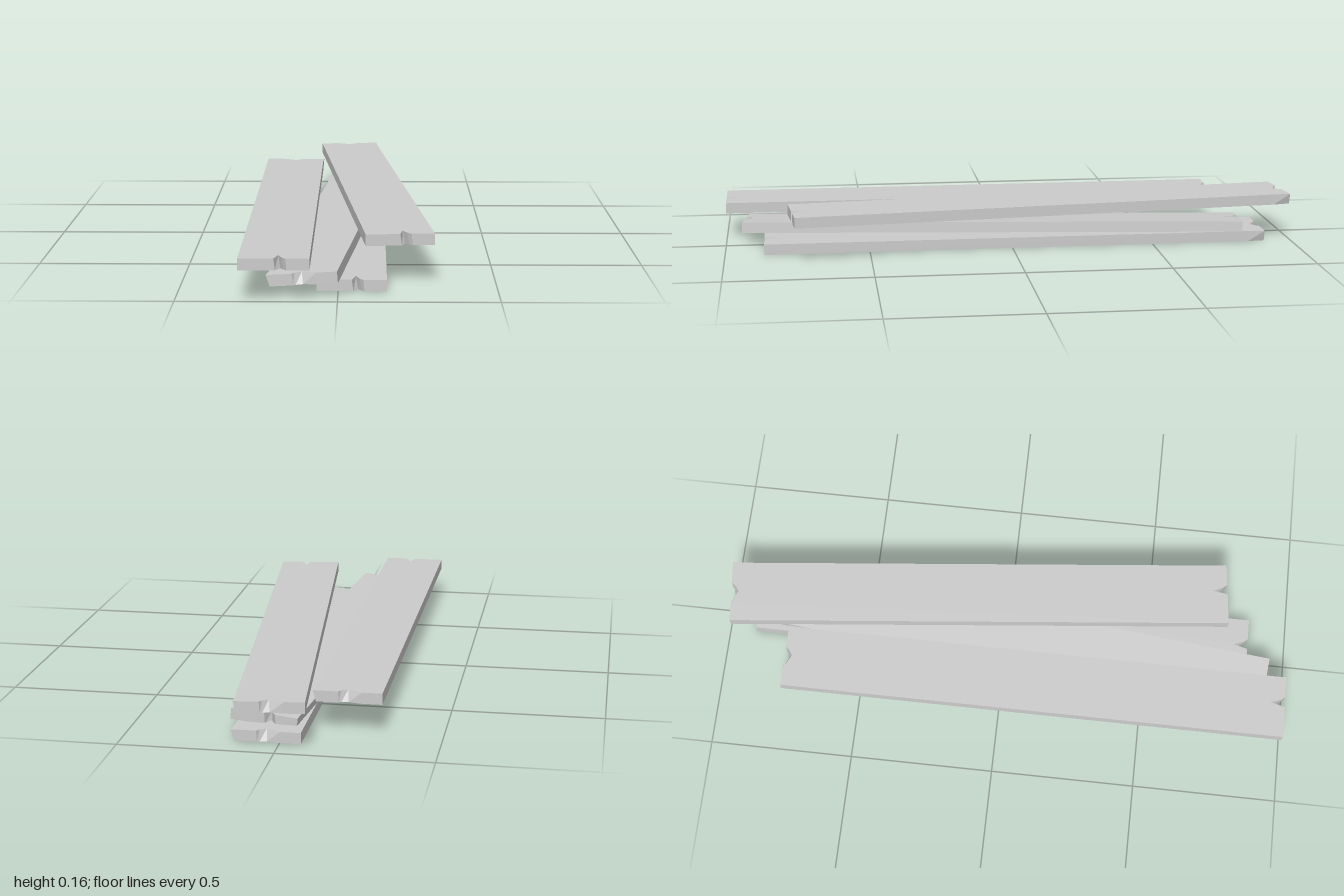
import * as THREE from 'three';

const HALF = 0.885;      // half the plank length
const THICK = 0.037;

// Outline, counter-clockwise from above: [top x, top z, bottom x, bottom z]
const OUTLINE = [
  [-0.11, HALF, -0.11, HALF],
  // split in the front end, deeper on top
  [0.0, HALF, 0.005, HALF],
  [0.013, HALF - 0.05, 0.02, HALF - 0.03],
  [0.025, HALF - 0.015, 0.03, HALF - 0.012],
  [0.036, HALF, 0.04, HALF],
  [0.11, HALF, 0.11, HALF],
  // chipped back corner
  [0.11, -HALF + 0.06, 0.11, -HALF + 0.06],
  [0.113, -HALF, 0.103, -HALF],
  // broad, shallow chip in the back end
  [0.032, -HALF, 0.03, -HALF],
  [0.024, -HALF + 0.012, 0.022, -HALF + 0.006],
  [0.003, -HALF + 0.026, 0.0, -HALF + 0.01],
  [-0.045, -HALF, -0.04, -HALF],
  [-0.11, -HALF, -0.11, -HALF],
];

function plankGeometry() {
  const top = OUTLINE.map(([x, z]) => [x, THICK / 2, z]);
  const bottom = OUTLINE.map(([, , x, z]) => [x, -THICK / 2, z]);
  const pos = [];
  const tri = (...corners) => corners.forEach((c) => pos.push(...c));

  // Broad faces
  const flat = top.map(([x, , z]) => new THREE.Vector2(x, -z));
  for (const [a, b, c] of THREE.ShapeUtils.triangulateShape(flat, [])) {
    tri(top[a], top[b], top[c]);
    tri(bottom[a], bottom[c], bottom[b]);
  }
  // Edge walls
  top.forEach((_, i) => {
    const j = (i + 1) % top.length;
    tri(bottom[i], bottom[j], top[j]);
    tri(bottom[i], top[j], top[i]);
  });

  const geometry = new THREE.BufferGeometry();
  geometry.setAttribute('position', new THREE.Float32BufferAttribute(pos, 3));
  geometry.computeVertexNormals();
  return geometry;
}

export function createModel() {
  const group = new THREE.Group();
  group.name = 'plankPile';
  const geometry = plankGeometry();
  const material = new THREE.MeshStandardMaterial({ color: 0xcccccc, flatShading: true });

  // Loosely stacked planks; the leaning one is turned end for end
  const planks = [
    { name: 'bottomPlank', at: [0.0425, 0.0185, -0.02], turn: [0, 0, 0] },
    { name: 'leaningPlank', at: [-0.0225, 0.053, 0.0515], turn: [0.002, Math.PI - 0.099, -0.077] },
    { name: 'rightPlank', at: [-0.195, 0.1165, 0.115], turn: [0, 0, 0] },
    { name: 'topPlank', at: [0.105, 0.1445, -0.11], turn: [0, 0.102, 0] },
  ];
  for (const { name, at, turn } of planks) {
    const plank = new THREE.Mesh(geometry, material);
    plank.name = name;
    plank.position.set(...at);
    plank.rotation.set(...turn, 'YXZ');
    group.add(plank);
  }
  return group;
}
